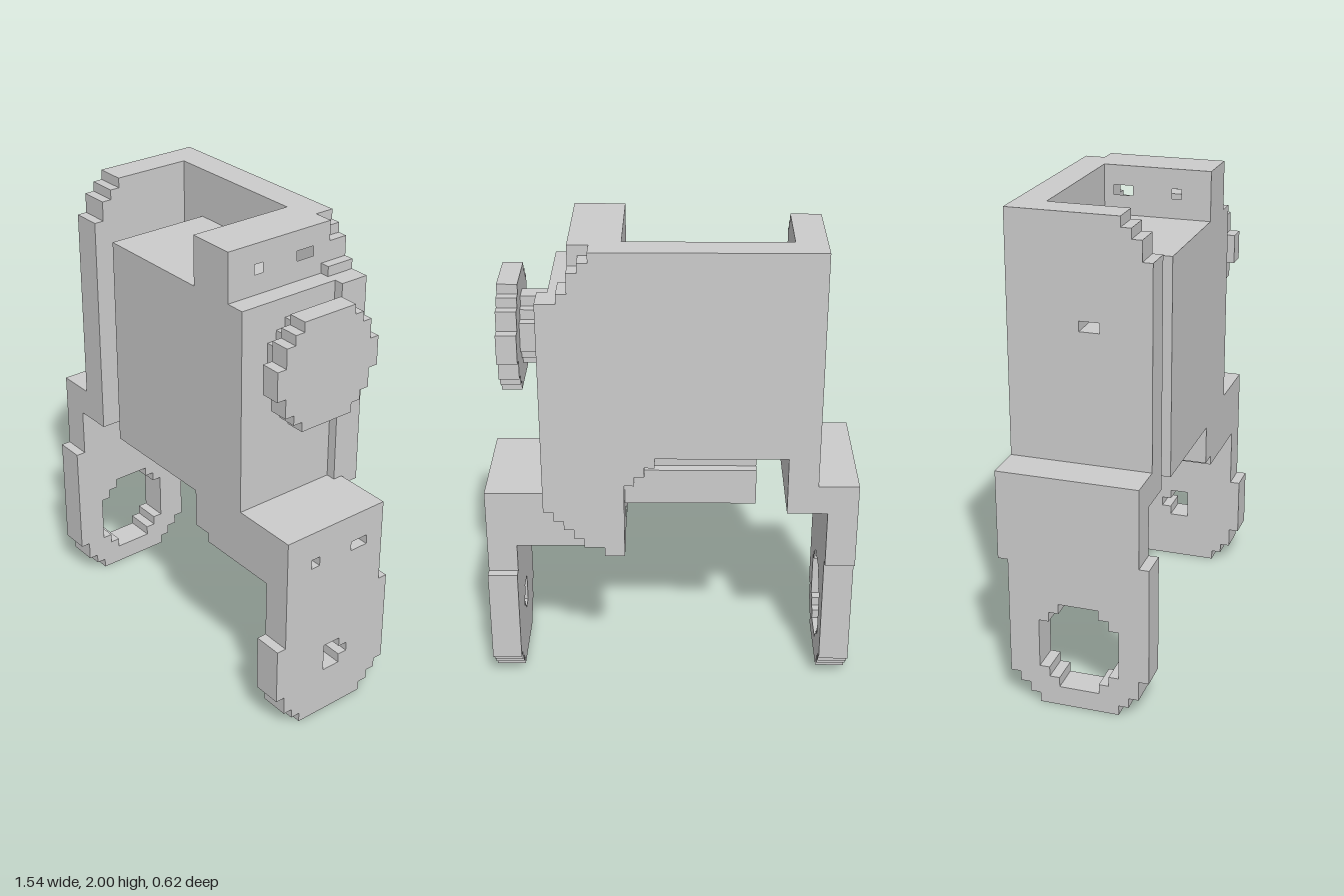
import * as THREE from 'three';

// All sizes are in cells; 24 cells make one unit.
const CELL = 1 / 24;

// Stepped outline: start corner, then alternating horizontal and vertical moves.
function stairs(list) {
  let [u, v] = list;
  const pts = [[u, v]];
  for (let i = 2; i < list.length; i++) {
    if (i % 2 === 0) u = list[i];
    else v = list[i];
    pts.push([u, v]);
  }
  pts.push([list[0], v]);
  return pts;
}

const rect = (u0, u1, v0, v1) => [[u0, v0], [u1, v0], [u1, v1], [u0, v1]];

// Stepped round outline from [half width, half height] pairs, top to side.
function round(cu, cv, steps) {
  const q = [];
  steps.forEach(([w, h], i) => {
    q.push([w, h]);
    if (i < steps.length - 1) q.push([w, steps[i + 1][1]]);
  });
  const r = [...q].reverse();
  return [
    ...q,
    ...r.map(([w, h]) => [w, -h]),
    ...q.map(([w, h]) => [-w, -h]),
    ...r.map(([w, h]) => [-w, h]),
  ].map(([w, h]) => [cu + w, cv + h]);
}

export function createModel() {
  const group = new THREE.Group();
  const material = new THREE.MeshStandardMaterial({ color: 0xcccccc, flatShading: true });

  function add(name, geometry) {
    geometry.scale(CELL, CELL, CELL);
    const mesh = new THREE.Mesh(geometry, material);
    mesh.name = name;
    group.add(mesh);
  }

  function box(name, x0, x1, y0, y1, z0, z1) {
    const g = new THREE.BoxGeometry(x1 - x0, y1 - y0, z1 - z0);
    add(name, g.translate((x0 + x1) / 2, (y0 + y1) / 2, (z0 + z1) / 2));
  }

  function extrude(outline, holes, depth, sign) {
    const toVec = ([u, v]) => new THREE.Vector2(sign * u, v);
    const shape = new THREE.Shape(outline.map(toVec));
    shape.holes = holes.map((h) => new THREE.Path(h.map(toVec)));
    return new THREE.ExtrudeGeometry(shape, { depth, bevelEnabled: false });
  }

  // Slab across x, with its outline given as (z, y).
  function slab(name, x0, x1, outline, holes = []) {
    const g = extrude(outline, holes, x1 - x0, -1);
    add(name, g.rotateY(Math.PI / 2).translate(x0, 0, 0));
  }

  // Pair of mounting slots at a given height
  const slots = (y) => [rect(2.5, 3.5, y, y + 1), rect(-3.5, -1.5, y, y + 1)];

  // Back plate with stepped corners
  const plate = stairs([
    -14.5, 48, 7.5, 47, 8.5, 46, 9.5, 44, 10.5, 43, 12.5, 21, 11.5, 20, 10.5, 19,
    9.5, 18, 8.5, 17, 6.5, 16, 4.5, 24, 3.5, 25, 2.5, 26, 1.5, 27, -11.5, 21,
  ]);
  add('backPlate', extrude(plate, [], 3, 1).translate(0, 0, -7.5));

  // Right side wall with its stepped front corner and small slot
  slab('rightWall', -14.5, -11.5,
    stairs([-7.5, 48, 3.5, 47, 4.5, 46, 5.5, 44, 6.5, 21]), [rect(-0.5, 1.5, 37, 38)]);

  // Central body, its rear ledge and the slotted block on top
  box('body', -8.5, 11.5, 21, 43, -4.5, 6.5);
  box('rearLedge', -8.5, 4.5, 21, 24.7, -5.5, -4.5);
  slab('topBlock', 4.5, 9.5, rect(-5.5, 6.5, 43, 48), slots(45));

  // Round hub on the left side
  slab('hubBase', 11.5, 14.5, round(0.5, 37.5, [[1, 3.5], [2, 2.5], [3, 1.5]]));
  slab('hubDisc', 14.5, 16.5, round(0.5, 37.5, [[3, 5.5], [4, 4.5], [5, 3.5], [6, 1.5]]));

  // Left bracket and leg
  slab('leftBracketEnd', 4.5, 6.5, rect(-5.5, 6.5, 17, 22), slots(18));
  slab('leftBracket', 6.5, 15.5, rect(-5.5, 6.5, 16, 22), slots(18));
  const foot = [7.5, 4, 6.5, 2, 5.5, 1];
  const heel = [4.5, 0, -3.5, 1, -4.5, 2, -5.5, 3, -6.5];
  slab('leftLeg', 15.5, 18.5, stairs([...heel, 13, -5.5, 22, 6.5, 10, ...foot]),
    [...slots(18), stairs([1.5, 5, -0.5, 6, -1.5, 7, -0.5, 8])]);

  // Right shelf and leg with a large round opening
  box('rightShelf', -18.5, -11.5, 21, 24, -7.5, 6.5);
  slab('rightLeg', -18.5, -15.5, stairs([...heel, 15, -7.5, 24, 6.5, 16, ...foot]),
    [round(0.5, 6.5, [[2, 4.5], [3, 3.5], [4, 2.5]])]);

  return group;
}
